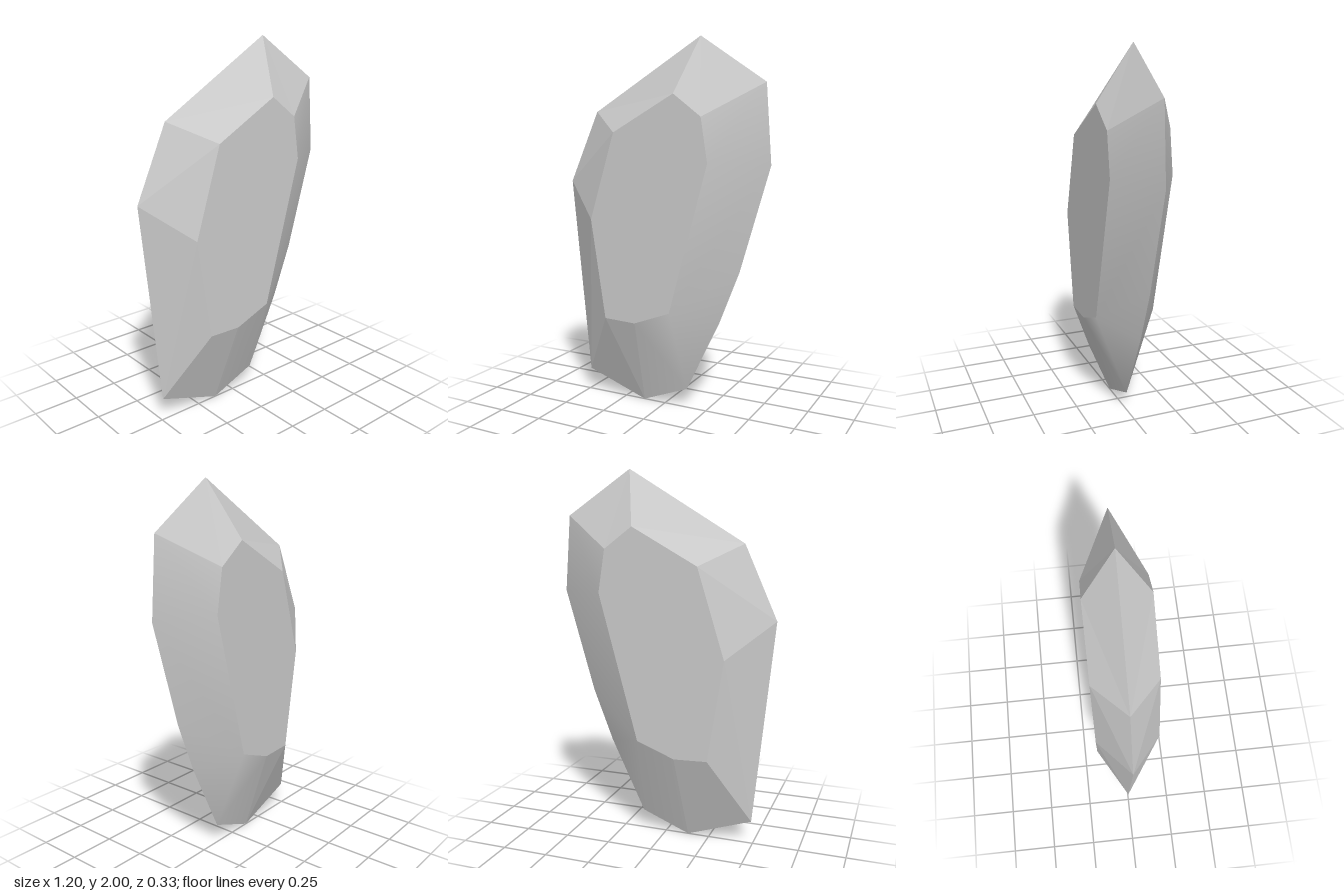
import * as THREE from 'three';

const HALF_DEPTH = 0.167;

// Sharp rim at z = 0, clockwise from the tip; the third value is the matching corner of the flat face
const rim = [
  [0.205, 2.0, 0], [0.563, 1.76, 1], [0.595, 1.35, 2], [0.435, 0.79, 3], [0.325, 0.505, 3],
  [0.135, 0.105, 3], [-0.13, 0, 4], [-0.49, 0.125, 5], [-0.6, 1.23, 6], [-0.425, 1.62, 7],
];
// Corners of the flat front and back faces
const face = [
  [0.13, 1.705], [0.283, 1.59], [0.32, 1.36], [0.108, 0.57],
  [-0.1, 0.49], [-0.283, 0.497], [-0.368, 1.04], [-0.222, 1.51],
];
// Rim segments that blend into one rounded bevel
const SMOOTH_FROM = 1, SMOOTH_TO = 6;

function makeGeometry(triangles, side, smooth) {
  const positions = [], index = [], seen = new Map();
  for (const tri of triangles) {
    for (const p of side > 0 ? tri : [...tri].reverse()) {
      const key = smooth ? p.join() : positions.length;
      if (!seen.has(key)) {
        seen.set(key, positions.length / 3);
        positions.push(p[0], p[1], p[2] * side);
      }
      index.push(seen.get(key));
    }
  }
  const geometry = new THREE.BufferGeometry();
  geometry.setAttribute('position', new THREE.Float32BufferAttribute(positions, 3));
  geometry.setIndex(index);
  geometry.computeVertexNormals();
  return geometry;
}

export function createModel() {
  const model = new THREE.Group();
  model.name = 'crystalShard';
  const material = new THREE.MeshStandardMaterial({ color: 0xcccccc });

  const outer = rim.map(([x, y]) => [x, y, 0]);
  const inner = face.map(([x, y]) => [x, y, HALF_DEPTH]);
  const facets = [], rounded = [];

  // Bevel between the rim and the flat face
  rim.forEach((point, i) => {
    const j = (i + 1) % rim.length;
    const a = point[2], b = rim[j][2];
    const target = i >= SMOOTH_FROM && i < SMOOTH_TO ? rounded : facets;
    if (a !== b) target.push([outer[i], inner[a], inner[b]]);
    target.push([outer[i], inner[b], outer[j]]);
  });

  // Flat face as a fan
  const cap = [];
  for (let i = 1; i < inner.length - 1; i++) cap.push([inner[0], inner[i + 1], inner[i]]);

  // Front half and its mirrored back half
  for (const [prefix, side] of [['front', 1], ['back', -1]]) {
    const parts = [['Face', cap, false], ['Facets', facets, false], ['RoundedBevel', rounded, true]];
    for (const [part, triangles, smooth] of parts) {
      const mesh = new THREE.Mesh(makeGeometry(triangles, side, smooth), material);
      mesh.name = prefix + part;
      model.add(mesh);
    }
  }
  return model;
}
